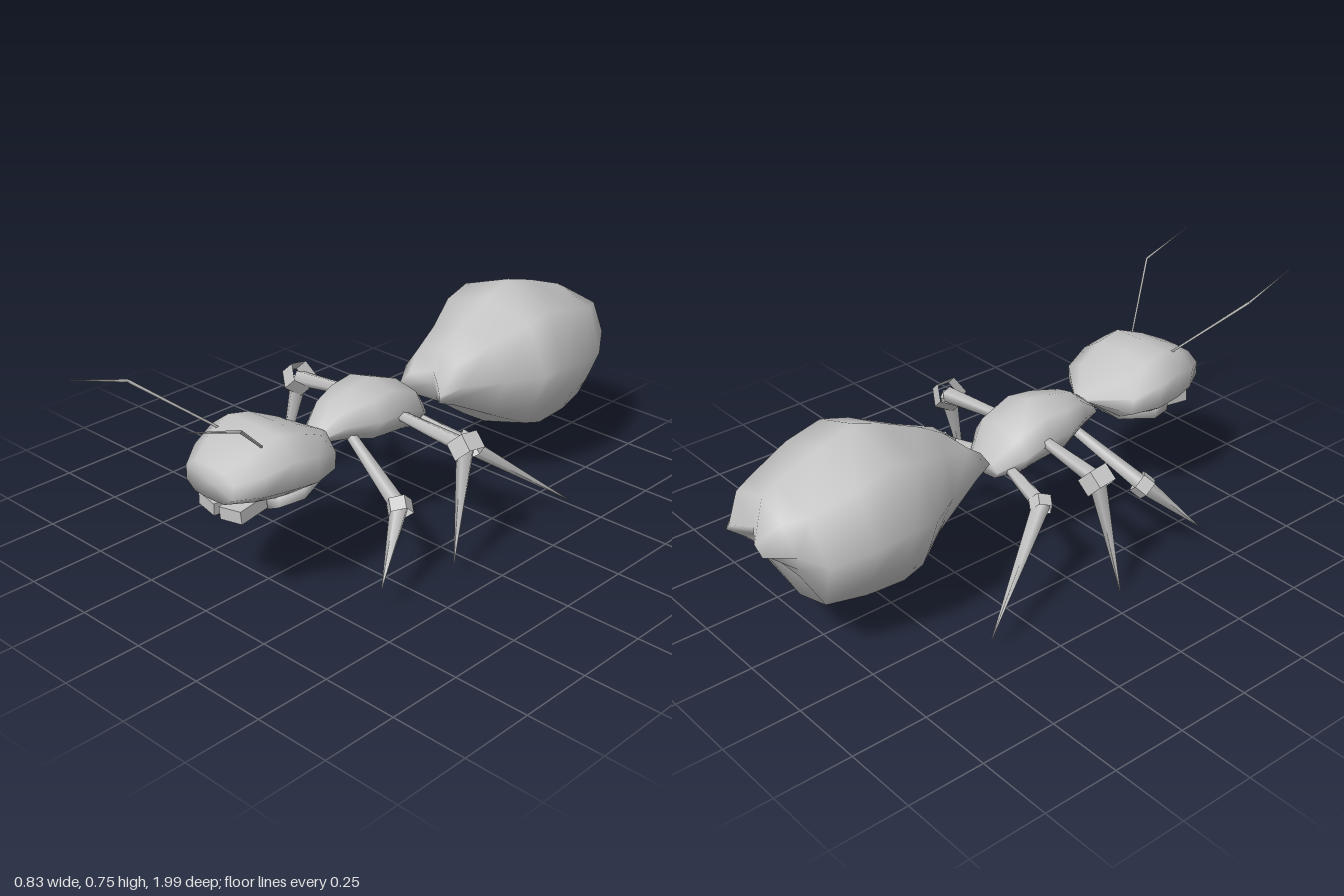
import * as THREE from 'three';

const grey = new THREE.MeshStandardMaterial({ color: 0xc4c4c4, side: THREE.DoubleSide });
grey.name = 'grey shell';

// Half outlines of a cross-section, from top to bottom
const ROUND = [[0, 1], [0.7, 0.76], [1, 0.05], [0.82, -0.47], [0.69, -0.78], [0, -1]];
const BROAD = [[0, 1], [0.6, 0.95], [1, 0.42], [0.98, -0.45], [0.62, -0.93], [0, -1]];

// Lofted body; sections run front to back: [halfWidth, zTop, yTop, zBottom, yBottom, notch]
function loft(name, sections, half, cx = 0) {
  const ring = [...half, ...half.slice(1, -1).reverse().map(([x, y]) => [-x, y])];
  const n = ring.length, pos = [], idx = [];
  for (const [w, zt, yt, zb, yb, notch = 0] of sections) {
    for (const [px, py] of ring) {
      const t = (py + 1) / 2;
      pos.push(cx + w * px, yb + (yt - yb) * t, zb + (zt - zb) * t + notch * (1 - Math.abs(px)));
    }
  }
  for (let i = 0; i < sections.length - 1; i++) {
    for (let j = 0; j < n; j++) {
      const a = i * n + j, b = i * n + (j + 1) % n;
      idx.push(a, b, a + n, b, b + n, a + n);
    }
  }
  // End caps
  for (const [s, back] of [[0, false], [sections.length - 1, true]]) {
    const [, zt, yt, zb, yb, notch = 0] = sections[s];
    const c = pos.length / 3;
    pos.push(cx, (yt + yb) / 2, (zt + zb) / 2 + notch);
    for (let j = 0; j < n; j++) {
      const a = s * n + j, b = s * n + (j + 1) % n;
      if (back) idx.push(c, a, b); else idx.push(c, b, a);
    }
  }
  const g = new THREE.BufferGeometry();
  g.setAttribute('position', new THREE.Float32BufferAttribute(pos, 3));
  g.setIndex(idx);
  g.computeVertexNormals();
  return named(name, g);
}

function named(name, geometry) {
  const m = new THREE.Mesh(geometry, grey);
  m.name = name;
  return m;
}

const UP = new THREE.Vector3(0, 1, 0);

// Tapered rod between two points
function rod(name, a, b, ra, rb, sides = 5) {
  const p = new THREE.Vector3(...a), q = new THREE.Vector3(...b);
  const d = q.clone().sub(p);
  const m = named(name, new THREE.CylinderGeometry(rb, ra, d.length(), sides));
  m.position.copy(p).add(q).multiplyScalar(0.5);
  m.quaternion.setFromUnitVectors(UP, d.normalize());
  return m;
}

// Thigh, pointed shin and an angular open band around the knee
function leg(name, hip, knee, tip, r) {
  const g = new THREE.Group();
  g.name = name;
  g.add(rod('thigh', hip, knee, 0.017, 0.027));
  g.add(rod('shin', knee, tip, 0.029, 0.001));
  const [h, k, t] = [hip, knee, tip].map(p => new THREE.Vector3(...p));
  const axis = k.clone().sub(h).normalize().add(t.sub(k).normalize()).normalize();
  const band = named('kneeBand', new THREE.CylinderGeometry(r, r, r * 1.1, 5, 1, true).toNonIndexed());
  band.geometry.computeVertexNormals();
  band.position.copy(k);
  band.quaternion.setFromUnitVectors(UP, axis);
  g.add(band);
  return g;
}

export function createModel() {
  const ant = new THREE.Group();
  ant.name = 'ant';

  // Abdomen, notched at both ends
  ant.add(loft('abdomen', [
    [0.085, -0.165, 0.45, -0.18, 0.355, -0.07],
    [0.125, -0.25, 0.515, -0.23, 0.335, -0.03],
    [0.175, -0.37, 0.57, -0.40, 0.24],
    [0.25, -0.50, 0.63, -0.50, 0.18],
    [0.255, -0.60, 0.665, -0.57, 0.152],
    [0.255, -0.72, 0.63, -0.70, 0.165],
    [0.21, -0.87, 0.575, -0.82, 0.178],
    [0.165, -0.945, 0.55, -0.885, 0.30, 0.03],
    [0.095, -1.02, 0.465, -0.945, 0.38, 0.07],
  ], ROUND));

  // Thorax
  ant.add(loft('thorax', [
    [0.04, 0.30, 0.42, 0.30, 0.385],
    [0.085, 0.22, 0.488, 0.21, 0.37],
    [0.125, 0.13, 0.507, 0.12, 0.345],
    [0.13, 0.045, 0.52, 0.0, 0.335],
    [0.125, -0.07, 0.475, -0.06, 0.325],
    [0.07, -0.145, 0.39, -0.13, 0.32],
  ], ROUND, -0.01));

  // Head and lower jaw
  ant.add(loft('head', [
    [0.10, 0.73, 0.477, 0.735, 0.375],
    [0.15, 0.66, 0.512, 0.65, 0.36],
    [0.18, 0.56, 0.55, 0.57, 0.35],
    [0.183, 0.48, 0.53, 0.48, 0.345],
    [0.155, 0.385, 0.485, 0.385, 0.36],
    [0.03, 0.29, 0.435, 0.31, 0.41],
  ], BROAD, 0.025));
  ant.add(loft('lowerJaw', [
    [0.12, 0.58, 0.39, 0.58, 0.305],
    [0.145, 0.50, 0.40, 0.50, 0.31],
    [0.12, 0.40, 0.42, 0.40, 0.335],
    [0.05, 0.33, 0.43, 0.33, 0.40],
  ], BROAD, 0.025));

  // Mandibles and antennae
  for (const s of [-1, 1]) {
    const m = named('mandible', new THREE.BoxGeometry(0.08, 0.04, 0.115));
    m.position.set(0.025 + s * 0.043, 0.33, 0.648);
    m.rotation.set(0.03, s * 0.15, s * 0.08);
    ant.add(m);

    const cx = 0.022, elbow = [cx + s * 0.235, 0.69, 0.81];
    const antenna = new THREE.Group();
    antenna.name = 'antenna';
    antenna.add(rod('antennaBase', [cx + s * 0.085, 0.515, 0.60], elbow, 0.004, 0.005, 4));
    antenna.add(rod('antennaTip', elbow, [cx + s * 0.235, 0.753, 1.0], 0.005, 0.001, 4));
    ant.add(antenna);
  }

  // Three pairs of legs
  ant.add(leg('frontLeg', [-0.06, 0.385, 0.19], [-0.31, 0.265, 0.26], [-0.40, 0.085, 0.43], 0.04));
  ant.add(leg('frontLeg', [0.05, 0.385, 0.19], [0.31, 0.265, 0.255], [0.39, 0.09, 0.415], 0.04));
  ant.add(leg('middleLeg', [-0.10, 0.43, 0.02], [-0.355, 0.40, 0.02], [-0.42, 0, 0.07], 0.052));
  ant.add(leg('middleLeg', [0.09, 0.42, 0.03], [0.36, 0.395, 0.02], [0.405, 0.05, 0.115], 0.052));
  ant.add(leg('hindLeg', [-0.07, 0.36, -0.09], [-0.255, 0.32, -0.115], [-0.41, 0.06, -0.44], 0.036));
  ant.add(leg('hindLeg', [0.06, 0.36, -0.09], [0.235, 0.32, -0.115], [0.41, 0.055, -0.44], 0.036));

  return ant;
}
